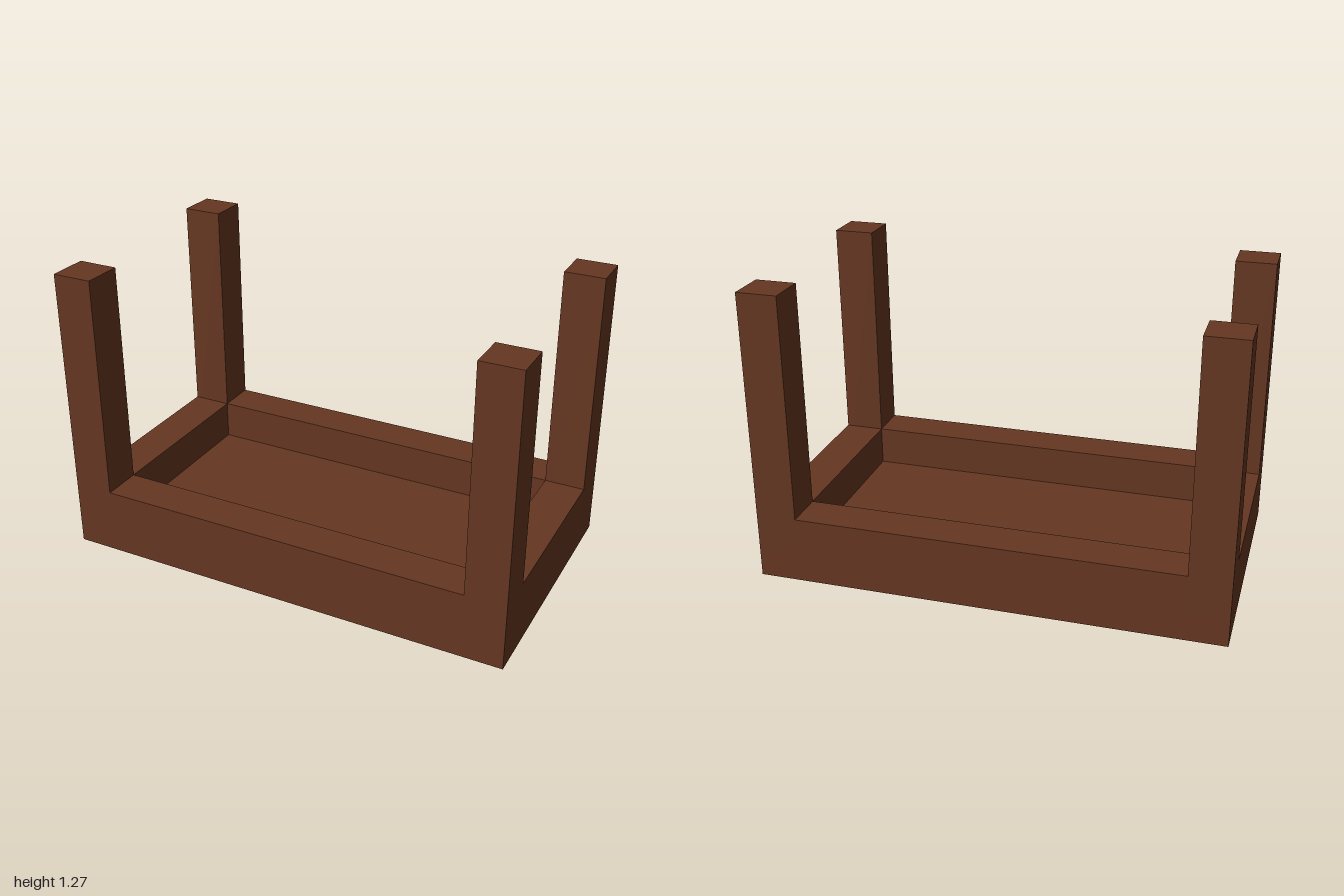
import * as THREE from 'three';

export function createModel() {
  const model = new THREE.Group();
  model.name = 'upturnedTable';
  const wood = new THREE.MeshStandardMaterial({ color: 0x653621 });

  const halfX = 1, halfZ = 0.57; // table top half sizes
  const topY = 0.115, apronY = 0.29, legY = 1.27;
  const legSize = 0.175;

  // Box standing on y0 and reaching y1
  function block(name, w, d, y0, y1, x, z) {
    const mesh = new THREE.Mesh(new THREE.BoxGeometry(w, y1 - y0, d), wood);
    mesh.name = name;
    mesh.position.set(x, (y0 + y1) / 2, z);
    model.add(mesh);
  }

  // Table top, lying face down
  block('tableTop', halfX * 2, halfZ * 2, 0, topY, 0, 0);

  const cx = halfX - legSize / 2, cz = halfZ - legSize / 2;
  for (const s of [1, -1]) {
    // Aprons fitted between the legs
    block(s > 0 ? 'frontApron' : 'backApron', 2 * (halfX - legSize), legSize, topY, apronY, 0, s * cz);
    block(s > 0 ? 'leftApron' : 'rightApron', legSize, 2 * (halfZ - legSize), topY, apronY, s * cx, 0);
    // Square corner legs pointing up
    for (const t of [1, -1]) {
      block((t > 0 ? 'front' : 'back') + (s > 0 ? 'Left' : 'Right') + 'Leg',
        legSize, legSize, topY, legY, s * cx, t * cz);
    }
  }
  return model;
}
